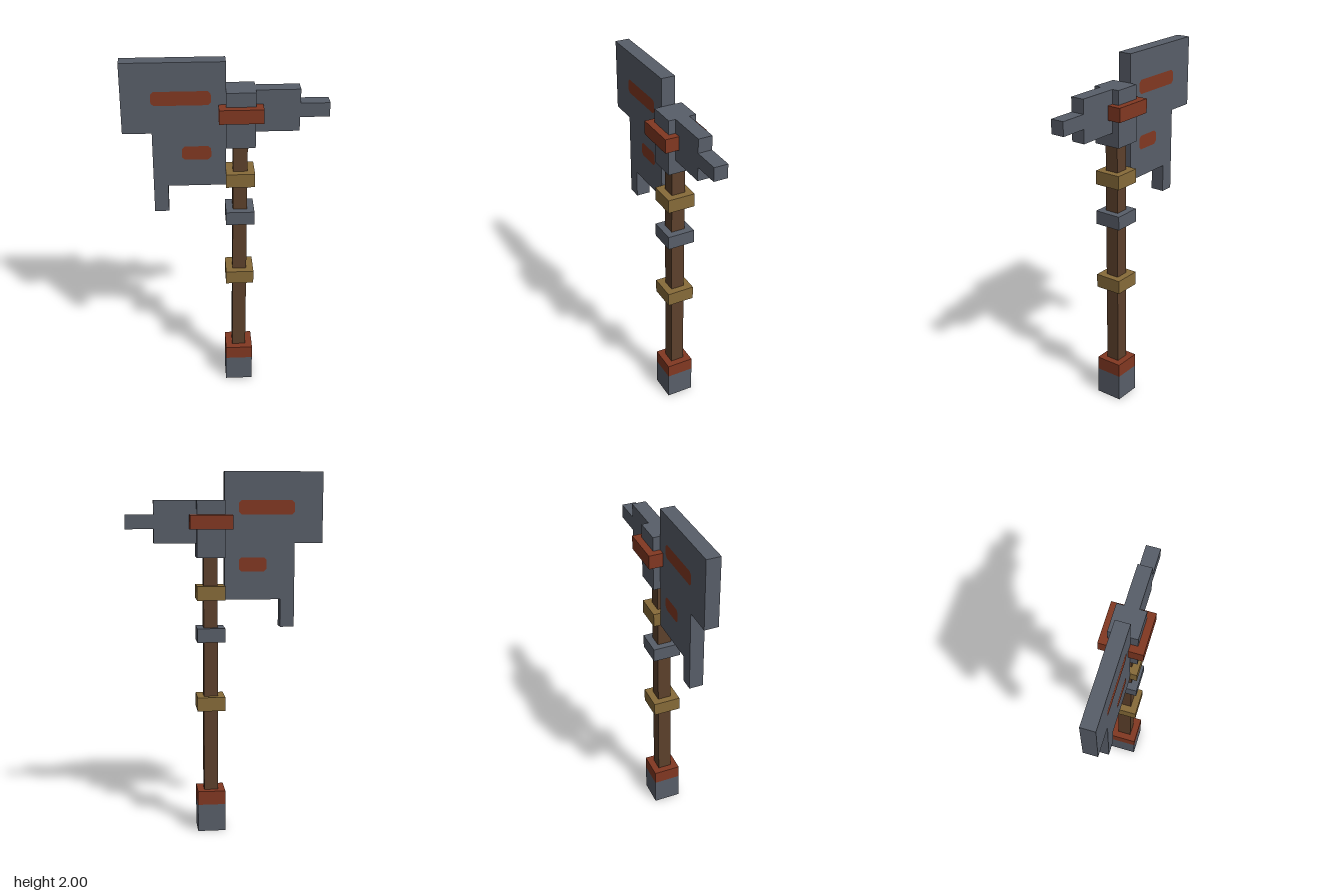
import * as THREE from 'three';

// The whole axe sits on a block grid, 26 blocks tall
const U = 2 / 26;

export function createModel() {
  const axe = new THREE.Group();
  axe.name = 'battleAxe';

  const mat = (name, color) => {
    const m = new THREE.MeshStandardMaterial({ color });
    m.name = name;
    return m;
  };
  const steel = mat('steel', 0x585e69);
  const rust = mat('rust', 0x823822);
  const wood = mat('wood', 0x5d412c);
  const brass = mat('brass', 0x876b39);

  // Box from its x and y limits and depth, in blocks, centred on z = 0
  const block = (name, material, x0, x1, y0, y1, depth, parent = axe) => {
    const mesh = new THREE.Mesh(
      new THREE.BoxGeometry((x1 - x0) * U, (y1 - y0) * U, depth * U), material);
    mesh.position.set((x0 + x1) / 2 * U, (y0 + y1) / 2 * U, 0);
    mesh.name = name;
    parent.add(mesh);
  };

  // Shaft with its pommel and collars
  block('pommel', steel, 0, 2, 0, 2, 2);
  block('pommelBand', rust, 0, 2, 2, 3, 2);
  block('shaft', wood, 0.5, 1.5, 3, 20, 1);
  block('lowerCollar', brass, 0, 2, 9, 10, 2);
  block('middleCollar', steel, 0, 2, 14, 15, 2);
  block('upperCollar', brass, 0, 2, 17, 18, 2);

  // Head socket, binding and rear spike
  block('headSocket', steel, 0, 2, 20, 24, 2);
  block('headBinding', rust, -0.5, 2.5, 22, 23, 3);
  block('spikeBase', steel, 2, 5, 21, 24, 1);
  block('spikeTip', steel, 5, 7, 22, 23, 1);

  // Stepped blade, one outline with thickness
  const outline = [[0, 17], [0, 26], [-7, 26], [-7, 21], [-5.5, 21], [-5.5, 21],
    [-5, 21], [-5, 15], [-4, 15], [-4, 17]]
    .filter(([x]) => x !== -5.5)
    .map(([x, y]) => new THREE.Vector2(x * U, y * U));
  const blade = new THREE.Mesh(
    new THREE.ExtrudeGeometry(new THREE.Shape(outline), { depth: U, bevelEnabled: false }), steel);
  blade.position.z = -U / 2;
  blade.name = 'blade';
  axe.add(blade);

  // Rust streaks with clipped corners, on both faces of the blade
  const streak = (name, x0, x1, y0, y1) => {
    const w = (x1 - x0) * U / 2, h = (y1 - y0) * U / 2, c = 0.015;
    const shape = new THREE.Shape([
      [-w + c, -h], [w - c, -h], [w, -h + c], [w, h - c],
      [w - c, h], [-w + c, h], [-w, h - c], [-w, -h + c],
    ].map(([x, y]) => new THREE.Vector2(x, y)));
    const geometry = new THREE.ShapeGeometry(shape);
    for (const side of [1, -1]) {
      const mesh = new THREE.Mesh(geometry, rust);
      mesh.position.set((x0 + x1) / 2 * U, (y0 + y1) / 2 * U, side * (U / 2 + 0.002));
      mesh.rotation.y = side > 0 ? 0 : Math.PI;
      mesh.name = name + (side > 0 ? 'Front' : 'Back');
      axe.add(mesh);
    }
  };
  streak('upperStreak', -5, -1, 23, 24);
  streak('lowerStreak', -3, -1, 19, 20);

  return axe;
}
